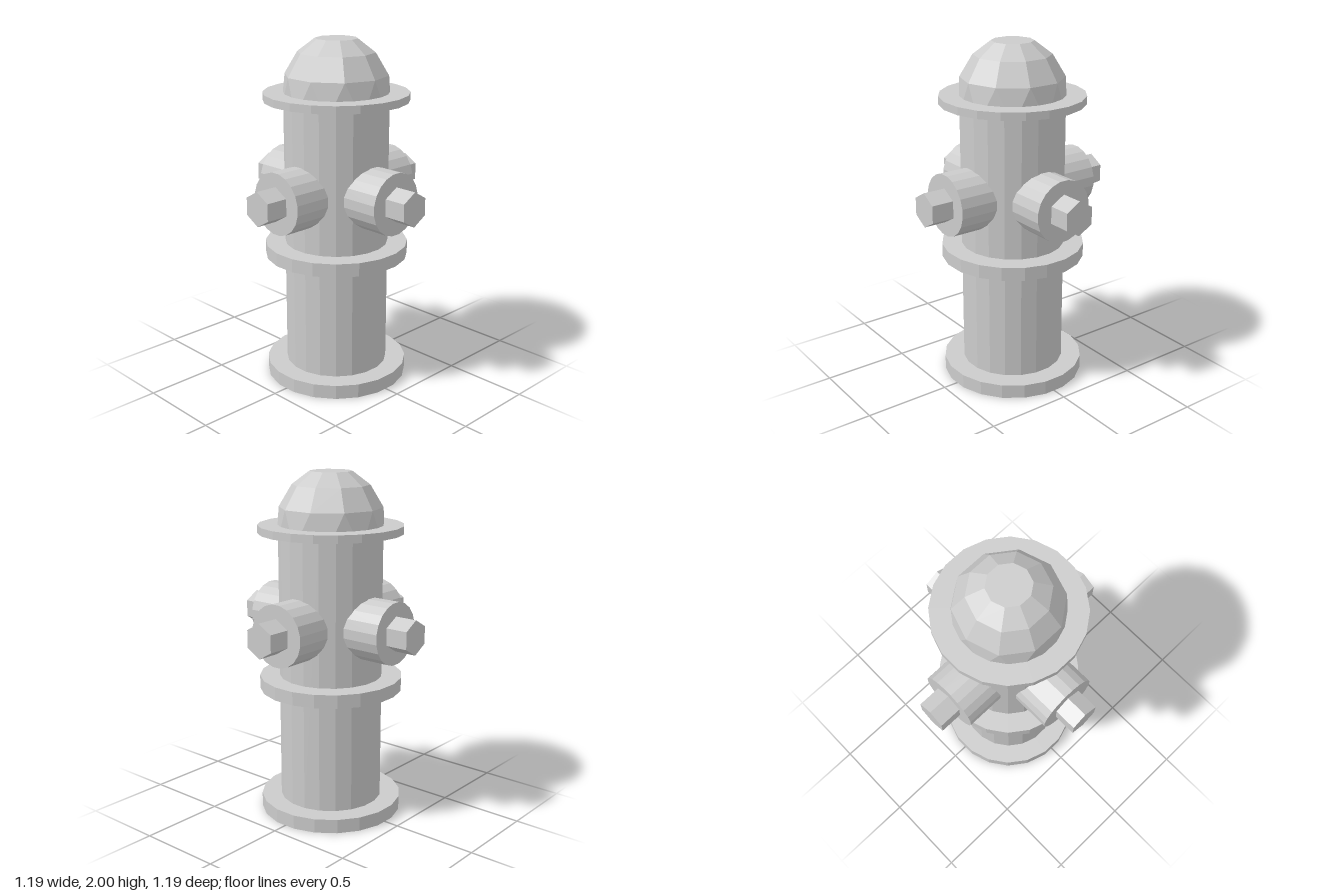
import * as THREE from 'three';

const SIDES = 20;
const material = new THREE.MeshStandardMaterial({ color: 0xcccccc, flatShading: true });

function addMesh(parent, name, geometry) {
  const mesh = new THREE.Mesh(geometry, material);
  mesh.name = name;
  parent.add(mesh);
  return mesh;
}

// Upright drum between two heights, with a flat facing each axis
function drum(radius, y0, y1, open = false) {
  return new THREE.CylinderGeometry(radius, radius, y1 - y0, SIDES, 1, open, Math.PI / SIDES)
    .translate(0, (y0 + y1) / 2, 0);
}

// Faceted dome: a 20-sided foot blending into 10-sided rings and a flat top
function domeGeometry() {
  const points = [];
  const at = (r, y, degrees) => {
    const a = THREE.MathUtils.degToRad(degrees);
    return [r * Math.cos(a), y, -r * Math.sin(a)];
  };
  const tri = (a, b, c) => points.push(...a, ...b, ...c);
  const quad = (a, b, c, d) => { tri(a, b, c); tri(a, c, d); };
  const rings = [[0.295, 1.8], [0.22, 1.925], [0.12, 2]];
  const foot = (degrees) => at(0.3, 1.703, degrees);

  for (let k = 0; k < 10; k++) {
    const a = k * 36, b = a + 36;
    // Foot strip: one triangle under each ring corner, one quad between corners
    tri(foot(a - 9), foot(a + 9), at(...rings[0], a));
    quad(foot(a + 9), foot(a + 27), at(...rings[0], b), at(...rings[0], a));
    for (let i = 0; i < rings.length - 1; i++) {
      quad(at(...rings[i], a), at(...rings[i], b), at(...rings[i + 1], b), at(...rings[i + 1], a));
    }
    tri(at(...rings[2], a), at(...rings[2], b), [0, 2, 0]);
  }
  const geometry = new THREE.BufferGeometry();
  geometry.setAttribute('position', new THREE.Float32BufferAttribute(points, 3));
  geometry.computeVertexNormals();
  return geometry;
}

// Outlet pointing to +z: round nozzle with a hexagonal nut
function createOutlet(name) {
  const outlet = new THREE.Group();
  outlet.name = name;
  addMesh(outlet, 'nozzle', drum(0.178, 0.2, 0.464).rotateX(Math.PI / 2));
  const nut = new THREE.CylinderGeometry(0.099, 0.099, 0.132, 6)
    .translate(0, 0.53, 0).rotateX(Math.PI / 2);
  addMesh(outlet, 'nut', nut);
  return outlet;
}

export function createModel() {
  const model = new THREE.Group();
  model.name = 'fireHydrant';

  // Barrel and its flanges
  addMesh(model, 'barrel', drum(0.299, 0.08, 1.66, true));
  addMesh(model, 'baseFlange', drum(0.415, 0, 0.082));
  addMesh(model, 'middleFlange', drum(0.415, 0.748, 0.826));
  addMesh(model, 'topFlange', drum(0.415, 1.658, 1.703));
  addMesh(model, 'dome', domeGeometry());

  // Four outlets around the barrel
  ['frontOutlet', 'leftOutlet', 'backOutlet', 'rightOutlet'].forEach((name, i) => {
    const outlet = createOutlet(name);
    outlet.position.y = 1.142;
    outlet.rotation.y = i * Math.PI / 2;
    model.add(outlet);
  });
  return model;
}
